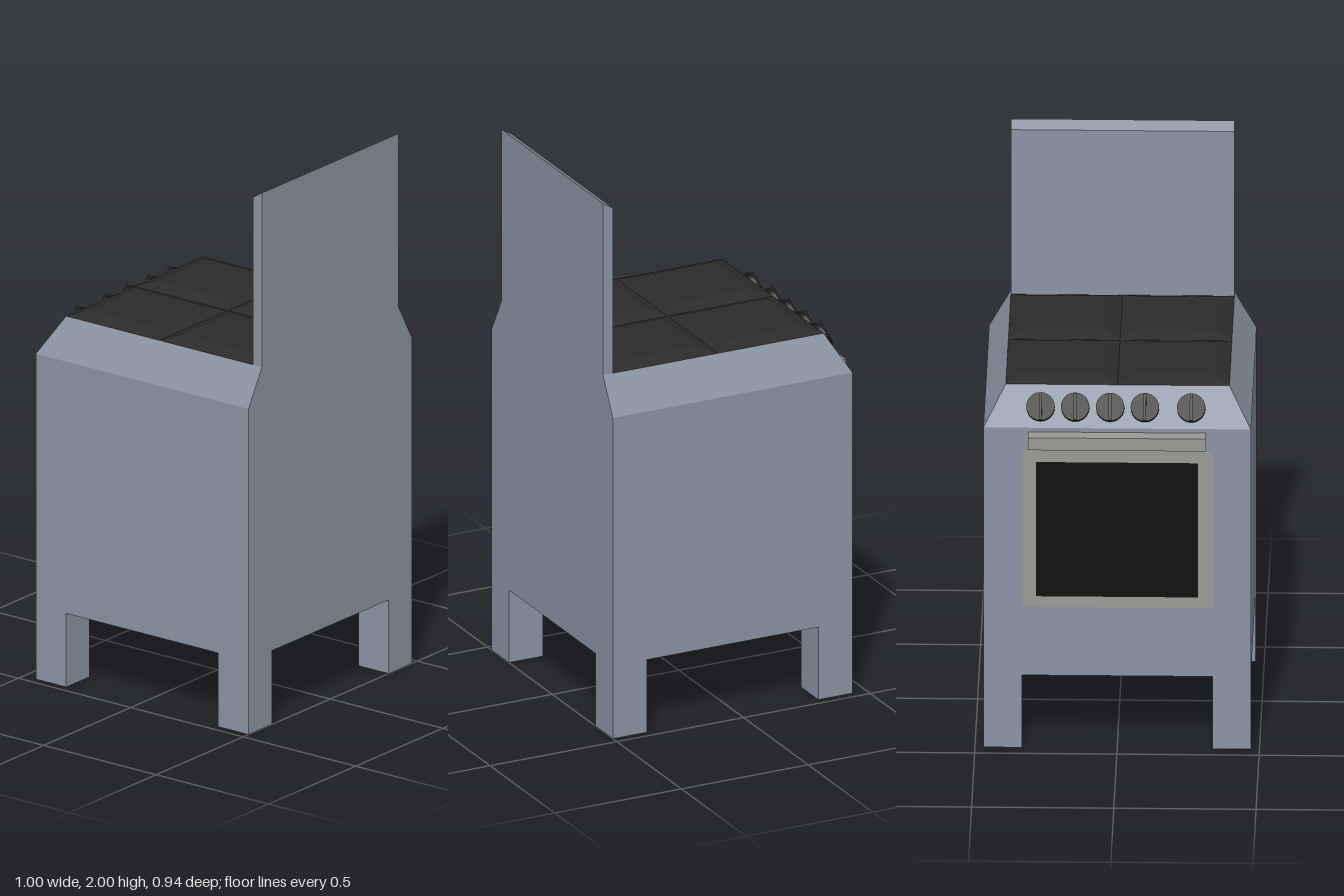
import * as THREE from 'three';

const mat = (color, side = THREE.FrontSide) =>
  new THREE.MeshStandardMaterial({ color, side, flatShading: true });

const enamel = mat(0x8a95a3, THREE.DoubleSide);
const steel = mat(0x9a9b96, THREE.DoubleSide);
const glass = mat(0x11110f, THREE.DoubleSide);
const iron = mat(0x2c2b29);
const black = mat(0x161613);

// Main dimensions
const X0 = -0.445, X1 = 0.5, Z = 0.47;          // cabinet walls
const TX = -0.37, TZ = 0.393;                   // edge of the hob top
const FLOOR = 0.275, SHOULDER = 1.215, TOP = 1.35, LEG = 0.135;

function add(parent, name, geometry, material) {
  const mesh = new THREE.Mesh(geometry, material);
  mesh.name = name;
  parent.add(mesh);
  return mesh;
}

const rect = (a, b, c, d) => [[a, b], [c, b], [c, d], [a, d]];
const vec2 = (pts) => pts.map(([x, y]) => new THREE.Vector2(x, y));

// Flat sheet cut from a 2D outline, then placed in space by a mapping rule
function sheet(outline, place, flip = false, hole = null) {
  const shape = new THREE.Shape(vec2(outline));
  if (hole) shape.holes.push(new THREE.Path(vec2(hole)));
  const geo = new THREE.ShapeGeometry(shape);
  const pos = geo.attributes.position;
  for (let i = 0; i < pos.count; i++) pos.setXYZ(i, ...place(pos.getX(i), pos.getY(i)));
  if (flip) geo.index.array.reverse();
  geo.computeVertexNormals();
  return geo;
}

// Four-cornered face, corners counter-clockwise from outside
function quad(...corners) {
  const geo = new THREE.BufferGeometry();
  geo.setAttribute('position', new THREE.Float32BufferAttribute(corners.flat(), 3));
  geo.setIndex([0, 1, 2, 0, 2, 3]);
  geo.computeVertexNormals();
  return geo;
}

// Wall outline with a notch that leaves a leg at each end
const legged = (a, b, upper) => [
  [a, 0], [a + LEG, 0], [a + LEG, FLOOR], [b - LEG, FLOOR], [b - LEG, 0], [b, 0], ...upper,
];

function buildCabinet(root) {
  const cabinet = new THREE.Group();
  cabinet.name = 'cabinet';
  root.add(cabinet);

  const side = legged(X0, X1, [[X1, SHOULDER], [X0, SHOULDER]]);
  add(cabinet, 'sideWall', sheet(side, (u, v) => [u, v, Z]), enamel);
  add(cabinet, 'sideWall', sheet(side, (u, v) => [u, v, -Z], true), enamel);

  const door = rect(-0.337, 0.535, 0.337, 1.13);
  const front = legged(-Z, Z, [[Z, SHOULDER], [-Z, SHOULDER]]);
  add(cabinet, 'doorWall', sheet(front, (u, v) => [X0, v, u], false, door), enamel);

  const back = legged(-Z, Z, [[Z, SHOULDER], [TZ, TOP], [-TZ, TOP], [-Z, SHOULDER]]);
  add(cabinet, 'rearWall', sheet(back, (u, v) => [X1, v, u], true), enamel);

  // Sloping shoulders and flat top
  add(cabinet, 'sideShoulder',
    quad([X0, SHOULDER, Z], [X1, SHOULDER, Z], [X1, TOP, TZ], [TX, TOP, TZ]), enamel);
  add(cabinet, 'sideShoulder',
    quad([X1, SHOULDER, -Z], [X0, SHOULDER, -Z], [TX, TOP, -TZ], [X1, TOP, -TZ]), enamel);
  add(cabinet, 'controlPanel',
    quad([X0, SHOULDER, -Z], [X0, SHOULDER, Z], [TX, TOP, TZ], [TX, TOP, -TZ]), enamel);
  add(cabinet, 'hobTop',
    quad([TX, TOP, TZ], [X1, TOP, TZ], [X1, TOP, -TZ], [TX, TOP, -TZ]), enamel);

  // Inner faces of the hollow legs
  for (const sx of [-1, 1]) for (const sz of [-1, 1]) {
    const x = sx < 0 ? X0 : X1, xi = x - sx * LEG;
    const z = sz * Z, zi = z - sz * LEG;
    add(cabinet, 'legInnerSide',
      sheet(rect(Math.min(z, zi), 0, Math.max(z, zi), FLOOR), (u, v) => [xi, v, u], sx < 0), enamel);
    add(cabinet, 'legInnerEnd',
      sheet(rect(Math.min(x, xi), 0, Math.max(x, xi), FLOOR), (u, v) => [u, v, zi], sz > 0), enamel);
  }

  // Oven door: flush frame, window and bar handle
  const pane = rect(-0.285, 0.575, 0.285, 1.085);
  add(root, 'doorFrame', sheet(door, (u, v) => [X0, v, u], false, pane), steel);
  add(root, 'doorWindow', sheet(pane, (u, v) => [X0, v, u]), glass);
  add(root, 'doorHandle', new THREE.BoxGeometry(0.055, 0.047, 0.626), steel)
    .position.set(-0.4725, 1.176, 0);
}

// Upright panel behind the hob, its top edge sloping forward
function buildSplashback(root) {
  const profile = new THREE.Shape(vec2([[0.46, TOP], [X1, TOP], [X1, 2], [0.46, 1.975]]));
  const geo = new THREE.ExtrudeGeometry(profile, { depth: 2 * TZ, bevelEnabled: false });
  geo.translate(0, 0, -TZ);
  add(root, 'splashback', geo, enamel);
}

// Four bevelled plates
function buildHob(root) {
  const w = 0.415, d = TZ, h = 0.02, inset = 0.055;
  for (const x of [TX + w / 2, TX + w * 1.5]) for (const z of [-d / 2, d / 2]) {
    const geo = new THREE.BoxGeometry(w, h, d);
    const pos = geo.attributes.position;
    for (let i = 0; i < pos.count; i++) {
      if (pos.getY(i) < 0) continue;
      pos.setX(i, pos.getX(i) - Math.sign(pos.getX(i)) * inset);
      pos.setZ(i, pos.getZ(i) - Math.sign(pos.getZ(i)) * inset);
    }
    geo.computeVertexNormals();
    add(root, 'hobPlate', geo, iron).position.set(x, TOP + h / 2, z);
  }
}

// Round knobs with a grip fin, square to the control panel
function buildKnobs(root) {
  const tilt = Math.atan2(TOP - SHOULDER, TX - X0);
  for (const z of [-0.27, -0.148, -0.025, 0.097, 0.26]) {
    const knob = new THREE.Group();
    knob.name = 'knob';
    add(knob, 'knobBody', new THREE.CylinderGeometry(0.05, 0.05, 0.03, 24), black).position.y = 0.015;
    add(knob, 'knobGrip', new THREE.BoxGeometry(0.095, 0.014, 0.01), iron).position.y = 0.036;
    knob.position.set((X0 + TX) / 2, (SHOULDER + TOP) / 2 - 0.005, z);
    knob.rotation.z = tilt;
    root.add(knob);
  }
}

export function createModel() {
  const root = new THREE.Group();
  root.name = 'cooker';
  buildCabinet(root);
  buildSplashback(root);
  buildHob(root);
  buildKnobs(root);
  return root;
}
